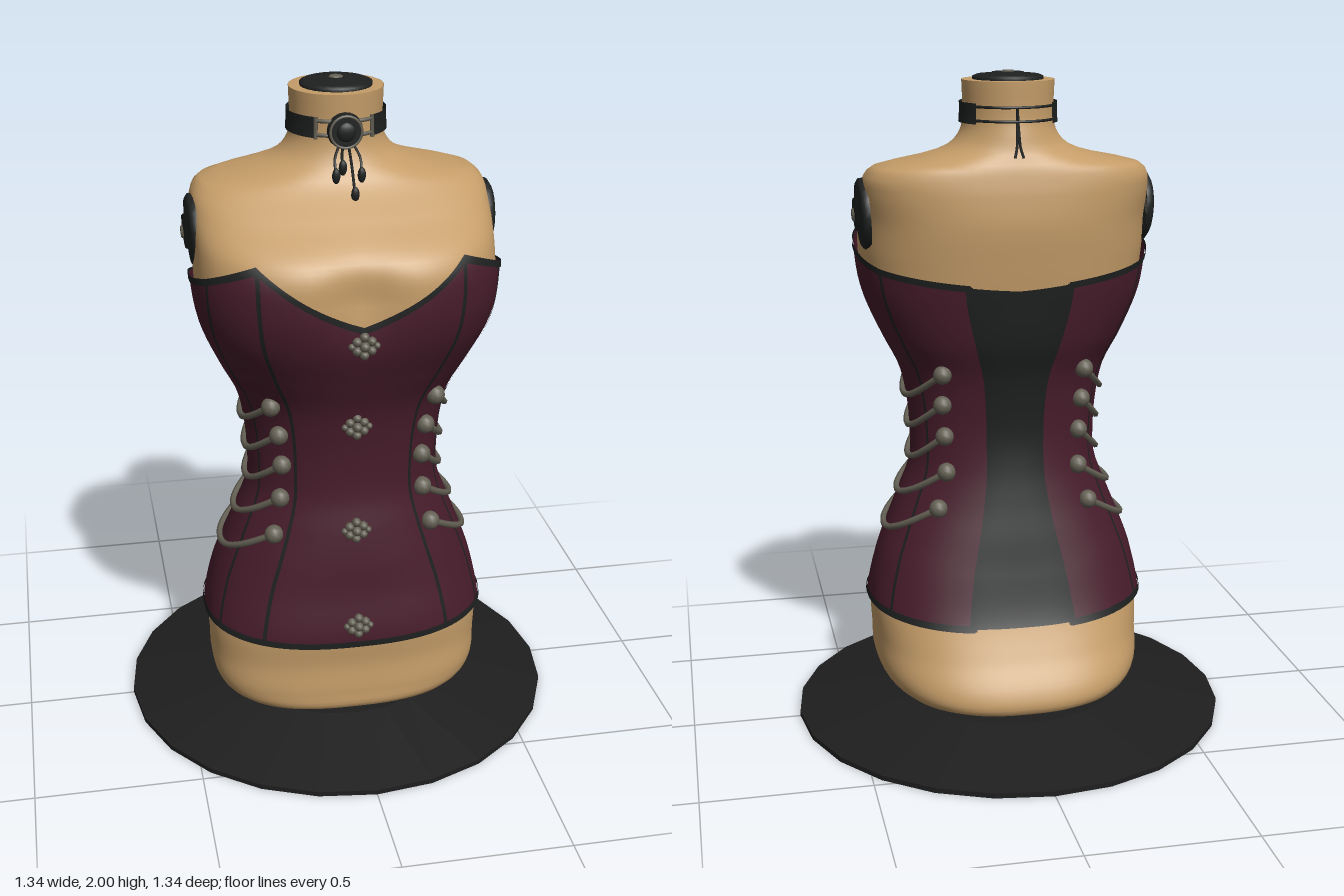
import * as THREE from 'three';
import { ParametricGeometry } from 'three/addons/geometries/ParametricGeometry.js';

const PI = Math.PI;
const paint = (name, color, side = THREE.FrontSide) => {
  const m = new THREE.MeshStandardMaterial({ color, side });
  m.name = name;
  return m;
};

// Body cross-sections: height, half width, front z, back z, squareness (1 = ellipse), z of the widest point
const BODY = [
  [0.07, 0.27, 0.29, -0.27, 0.8, 0.06], [0.095, 0.36, 0.35, -0.33, 0.77, 0.09], [0.15, 0.41, 0.36, -0.332, 0.75, 0.1],
  [0.25, 0.42, 0.356, -0.275, 0.77, 0.1], [0.36, 0.423, 0.365, -0.222, 0.8, 0.09], [0.5, 0.395, 0.345, -0.18, 0.86, 0.083],
  [0.6, 0.36, 0.335, -0.155, 0.92, 0.09], [0.7, 0.32, 0.32, -0.13, 0.97, 0.095], [0.8, 0.283, 0.302, -0.11, 0.98, 0.096],
  [0.9, 0.28, 0.3, -0.1, 0.98, 0.1], [1.0, 0.288, 0.31, -0.105, 0.98, 0.1], [1.1, 0.31, 0.33, -0.12, 0.95, 0.105],
  [1.2, 0.36, 0.37, -0.15, 0.88, 0.11], [1.33, 0.415, 0.425, -0.17, 0.82, 0.125], [1.45, 0.435, 0.445, -0.185, 0.81, 0.13],
  [1.56, 0.435, 0.418, -0.195, 0.8, 0.11], [1.65, 0.435, 0.295, -0.19, 0.78, 0.055], [1.7, 0.425, 0.225, -0.182, 0.78, 0.025],
  [1.73, 0.39, 0.19, -0.175, 0.82, 0.01], [1.755, 0.27, 0.172, -0.165, 0.9, 0], [1.78, 0.19, 0.158, -0.155, 1, 0],
  [1.82, 0.147, 0.142, -0.145, 1, 0], [1.87, 0.135, 0.135, -0.135, 1, 0], [1.975, 0.137, 0.137, -0.137, 1, 0],
];

// Smooth interpolation between the cross-sections
function section(y) {
  let i = 0;
  while (i < BODY.length - 2 && y > BODY[i + 1][0]) i++;
  const a = BODY[i], b = BODY[i + 1], p = BODY[Math.max(i - 1, 0)], n = BODY[Math.min(i + 2, BODY.length - 1)];
  const h = b[0] - a[0], t = THREE.MathUtils.clamp((y - a[0]) / h, 0, 1), t2 = t * t, t3 = t2 * t;
  return [1, 2, 3, 4, 5].map((k) => {
    const ma = h * (b[k] - p[k]) / (b[0] - p[0]), mb = h * (n[k] - a[k]) / (n[0] - a[0]);
    return (2 * t3 - 3 * t2 + 1) * a[k] + (t3 - 2 * t2 + t) * ma + (3 * t2 - 2 * t3) * b[k] + (t3 - t2) * mb;
  });
}

// Point on the body: angle from the front towards +x, height, distance off the skin
function at(th, y, d = 0, out = new THREE.Vector3()) {
  const [w, zf, zb, e, mid] = section(y);
  const s = Math.sin(th), c = Math.cos(th);
  const pow = (v) => Math.sign(v) * Math.abs(v) ** e;
  const x = (w + d) * pow(s);
  let z = mid + ((c > 0 ? zf - mid : mid - zb) + d) * pow(c);
  if (c > 0) z -= 0.04 * Math.exp(-((x / 0.11) ** 2) - ((y - 1.47) / 0.12) ** 2); // cleavage
  return out.set(x, y, z);
}

// Neckline and hem of the corset
const PEAK = 0.62;
const NECKLINE = [[0, 1.39], [PEAK, 1.567], [1.15, 1.51], [1.57, 1.473], [2.1, 1.43], [PI, 1.38]];
function neckline(th) {
  const a = Math.min(Math.abs(th > PI ? th - 2 * PI : th), PI);
  let i = 0;
  while (i < NECKLINE.length - 2 && a > NECKLINE[i + 1][0]) i++;
  const [p, q] = [NECKLINE[i], NECKLINE[i + 1]];
  return p[1] + (q[1] - p[1]) * (a - p[0]) / (q[0] - p[0]);
}
const hem = (th) => 0.365 - 0.03 * Math.cos(th) ** 2;

// Patch of cloth over the body between two angles and two height rules
const patch = (t0, t1, low, high, d, nu, nv) => new ParametricGeometry((u, v, out) => {
  const th = t0 + (t1 - t0) * u;
  at(th, low(th) + (high(th) - low(th)) * v, d, out);
}, nu, nv);

export function createModel() {
  const model = new THREE.Group();
  const skin = paint('tan skin', 0xc49c68, THREE.DoubleSide);
  const cloth = paint('burgundy cloth', 0x471c2b, THREE.DoubleSide);
  const trim = paint('black trim', 0x1e2020, THREE.DoubleSide);
  const black = paint('black base', 0x1e1e1e);
  const metal = paint('old silver', 0x646054);

  const add = (name, geo, mat, pos, parent = model) => {
    const m = new THREE.Mesh(geo, mat);
    m.name = name;
    if (pos) m.position.set(...pos);
    parent.add(m);
    return m;
  };
  const tube = (name, pts, r, mat, n = 20) =>
    add(name, new THREE.TubeGeometry(new THREE.CatmullRomCurve3(pts), n, r, 6), mat);

  // Stand
  const flat = (geo) => { const g = geo.toNonIndexed(); g.computeVertexNormals(); return g; };
  add('standRim', flat(new THREE.CylinderGeometry(0.67, 0.67, 0.015, 24)), black, [0, 0.0075, 0]);
  add('standTop', flat(new THREE.CylinderGeometry(0.36, 0.67, 0.065, 24)), black, [0, 0.0475, 0]);

  // Torso and neck
  add('torso', patch(0, 2 * PI, () => 0.07, () => 1.975, 0, 72, 130), skin);
  add('neckTop', new THREE.CircleGeometry(0.137, 32).rotateX(-PI / 2), skin, [0, 1.975, 0]);

  // Domed caps on the neck and arm stumps
  const capProfile = (r, h) => [[r, 0], [r, h * 0.35], [r * 0.88, h * 0.55], [r * 0.5, h * 0.6], [r * 0.45, h * 0.82], [0, h * 0.88]]
    .map(([x, y]) => new THREE.Vector2(x, y));
  const cap = (name, r, h) => {
    const g = new THREE.Group();
    g.name = name;
    add('capDisc', new THREE.LatheGeometry(capProfile(r, h), 24), trim, null, g);
    add('capBolt', new THREE.CylinderGeometry(0.017, 0.026, h * 0.3, 8), metal, [0, h * 0.85, 0], g);
    model.add(g);
    return g;
  };
  cap('neckCap', 0.105, 0.025).position.y = 1.975;
  for (const s of [1, -1]) {
    const c = cap(s > 0 ? 'leftArmCap' : 'rightArmCap', 0.107, 0.045);
    c.position.set(s * 0.418, 1.582, 0.055);
    c.rotation.z = -s * (PI / 2 + 0.06);
  }

  // Corset panels, seams and edging, mirrored left and right
  const BACK = PI - 0.26;
  const breaks = [0, PEAK, 1.15, 2.1, BACK];
  for (const s of [1, -1]) {
    const side = (a, b, low, high, d, nu, nv) => s > 0 ? patch(a, b, low, high, d, nu, nv) : patch(-b, -a, low, high, d, nu, nv);
    for (let i = 0; i < 4; i++) {
      const [a, b] = [breaks[i], breaks[i + 1]];
      add('corsetPanel', side(a, b, hem, neckline, 0.012, 12, 40), cloth);
      add('necklineTrim', side(a, b, (t) => neckline(t) - 0.016, (t) => neckline(t) + 0.004, 0.016, 12, 2), trim);
      add('hemTrim', side(a, b, (t) => hem(t) - 0.003, (t) => hem(t) + 0.017, 0.016, 12, 2), trim);
      if (i) add('seam', side(a - 0.018, a + 0.018, hem, neckline, 0.0145, 2, 40), trim);
    }
    add('backEdgeTrim', side(BACK - 0.035, BACK + 0.012, hem, neckline, 0.016, 2, 40), trim);

    // Sagging side cords between buttons
    [[1.11, 0.8, 2.45], [1.01, 0.78, 2.38], [0.91, 0.77, 2.38], [0.8, 0.79, 2.4], [0.69, 0.76, 2.4]].forEach(([y, a, b]) => {
      const pts = [];
      for (let k = 0; k <= 12; k++) {
        const t = k / 12;
        pts.push(at(s * (a + (b - a) * t), y - 0.095 * Math.sin(PI * t), 0.02));
      }
      tube('sideCord', pts, 0.01, metal, 30);
      for (const th of [a, b]) add('cordButton', new THREE.SphereGeometry(0.029, 12, 8), metal, at(s * th, y, 0.02).toArray());
    });
  }
  add('backPanel', patch(BACK - 0.05, 2 * PI - BACK + 0.05, (t) => hem(t) + 0.005, (t) => neckline(t) - 0.005, 0.008, 16, 40), trim);

  // Flower clasps down the front
  for (const y of [1.34, 1.05, 0.71, 0.405]) {
    const g = new THREE.Group();
    g.name = 'frontClasp';
    g.position.copy(at(0, y, 0.016));
    for (let k = 0; k < 6; k++) {
      const a = k * PI / 3 + PI / 6;
      add('claspPetal', new THREE.SphereGeometry(0.014, 8, 6), metal, [0.024 * Math.cos(a), 0.027 * Math.sin(a), 0], g);
    }
    add('claspHeart', new THREE.SphereGeometry(0.015, 8, 6), metal, [0, 0, 0.006], g);
    for (const s of [1, -1]) add('claspTip', new THREE.SphereGeometry(0.01, 8, 6), metal, [s * 0.036, 0, 0], g);
    model.add(g);
  }

  // Choker: bands, buckles, laced back
  for (const s of [1, -1]) {
    const [a, b] = s > 0 ? [0.55, 2.25] : [-2.25, -0.55];
    add('chokerBand', patch(a, b, () => 1.852, () => 1.912, 0.01, 20, 2), trim);
    for (const y of [1.862, 1.902]) {
      tube('chokerLink', [0.25, 0.4, 0.58].map((t) => at(s * t, y, 0.011)), 0.006, metal, 6);
      tube('backLace', [2.2, 2.5, 2.8, PI].map((t) => at(s * t, y, 0.005)), 0.004, trim, 10);
    }
    tube('buckle', [1.85, 1.882, 1.914].map((y) => at(s * 0.58, y, 0.012)), 0.006, metal, 4);
    tube('laceEnd', [1.9, 1.86, 1.82, 1.79, 1.76].map((y, k) => at(PI - s * 0.01 * k, y, 0.003)), 0.004, trim, 12);
  }

  // Medallion and hanging drops
  add('medallion', new THREE.CylinderGeometry(0.046, 0.052, 0.022, 20).rotateX(PI / 2), trim, [0, 1.875, 0.15]);
  add('medallionRing', new THREE.TorusGeometry(0.045, 0.004, 6, 24), metal, [0, 1.875, 0.16]);
  add('medallionStone', new THREE.SphereGeometry(0.028, 14, 8).scale(1, 1, 0.4), trim, [0, 1.875, 0.161]);
  for (const [x, end] of [[-0.033, 1.765], [-0.012, 1.785], [0.014, 1.72], [0.04, 1.765]]) {
    const on = (px, y) => new THREE.Vector3(px, y, at(0, y).z + 0.012);
    tube('dropChain', [on(x * 0.6, 1.835), on(x, (1.835 + end) / 2), on(x, end)], 0.004, trim, 8);
    add('drop', new THREE.SphereGeometry(0.012, 10, 8).scale(1, 1.9, 0.9), trim, on(x, end - 0.008).toArray());
  }
  return model;
}
